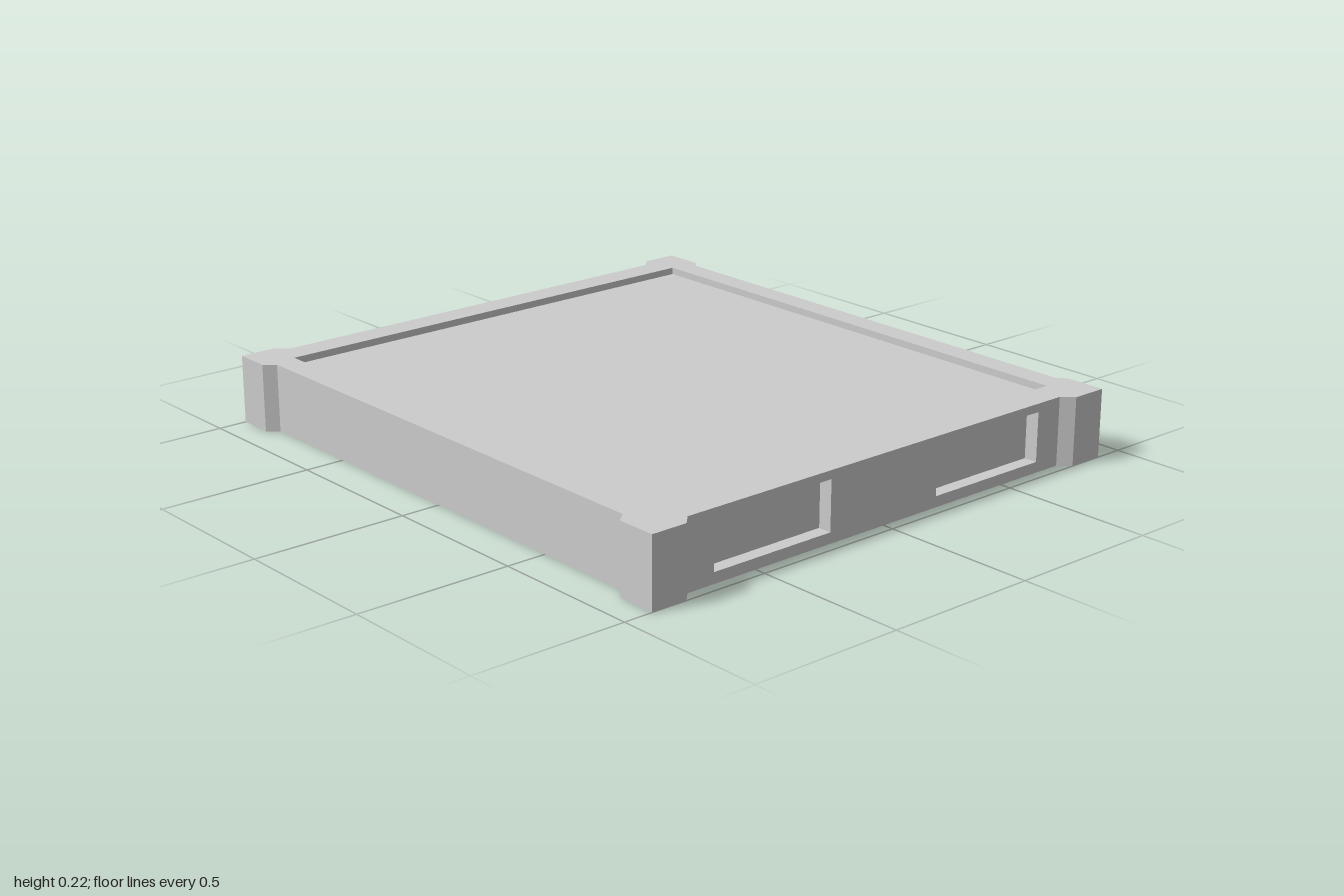
import * as THREE from 'three';

const HEIGHT = 0.222;
const RAIL_X = 0.965;   // outer face of the side rails
const POCKET = 0.045;   // depth of the side pockets
const SKIN_Z = 0.75;    // half length of the pocketed side walls

const rect = (Type, x0, y0, x1, y1) => new Type([
  [x0, y0], [x1, y0], [x1, y1], [x0, y1],
].map(([x, y]) => new THREE.Vector2(x, y)));

export function createModel() {
  const model = new THREE.Group();
  const material = new THREE.MeshStandardMaterial({ color: 0xcccccc, flatShading: true });
  const add = (name, geometry, x = 0, y = 0, z = 0) => {
    const mesh = new THREE.Mesh(geometry, material);
    mesh.name = name;
    mesh.position.set(x, y, z);
    model.add(mesh);
  };

  // Frame with protruding chamfered corner posts; plan points are (x, z)
  const inner = RAIL_X - POCKET;
  const plan = [
    [-1, 0.905], [-0.88, 0.905], [-0.85, 0.87], [0.84, 0.87], [0.87, 0.905], [1, 0.905],
    [1, 0.785], [RAIL_X, SKIN_Z], [inner, SKIN_Z], [inner, -SKIN_Z], [RAIL_X, -SKIN_Z], [1, -0.785],
    [1, -0.905], [0.865, -0.905], [0.84, -0.88], [-0.84, -0.88], [-0.87, -0.905], [-1, -0.905],
    [-1, -0.785], [-RAIL_X, -SKIN_Z], [-inner, -SKIN_Z], [-inner, SKIN_Z], [-RAIL_X, SKIN_Z], [-1, 0.785],
  ];
  const outline = new THREE.Shape(plan.map(([x, z]) => new THREE.Vector2(x, -z)));
  outline.holes.push(rect(THREE.Path, -0.875, -0.79, 0.87, 0.8));
  add('frame', new THREE.ExtrudeGeometry(outline, { depth: HEIGHT, bevelEnabled: false })
    .rotateX(-Math.PI / 2));

  // Side walls with two rectangular pockets each
  const wall = rect(THREE.Shape, -SKIN_Z, 0, SKIN_Z, HEIGHT);
  wall.holes.push(rect(THREE.Path, 0.215, 0.035, 0.655, 0.195));
  wall.holes.push(rect(THREE.Path, -0.655, 0.035, -0.215, 0.195));
  const wallGeometry = new THREE.ExtrudeGeometry(wall, { depth: POCKET, bevelEnabled: false })
    .rotateY(-Math.PI / 2);
  add('leftPocketWall', wallGeometry, RAIL_X);
  add('rightPocketWall', wallGeometry, -inner);

  // Recessed panel, leaving a narrow slit along the left rail
  add('panel', new THREE.BoxGeometry(1.73, 0.176, 1.59), -0.01, HEIGHT / 2, -0.005);

  return model;
}
